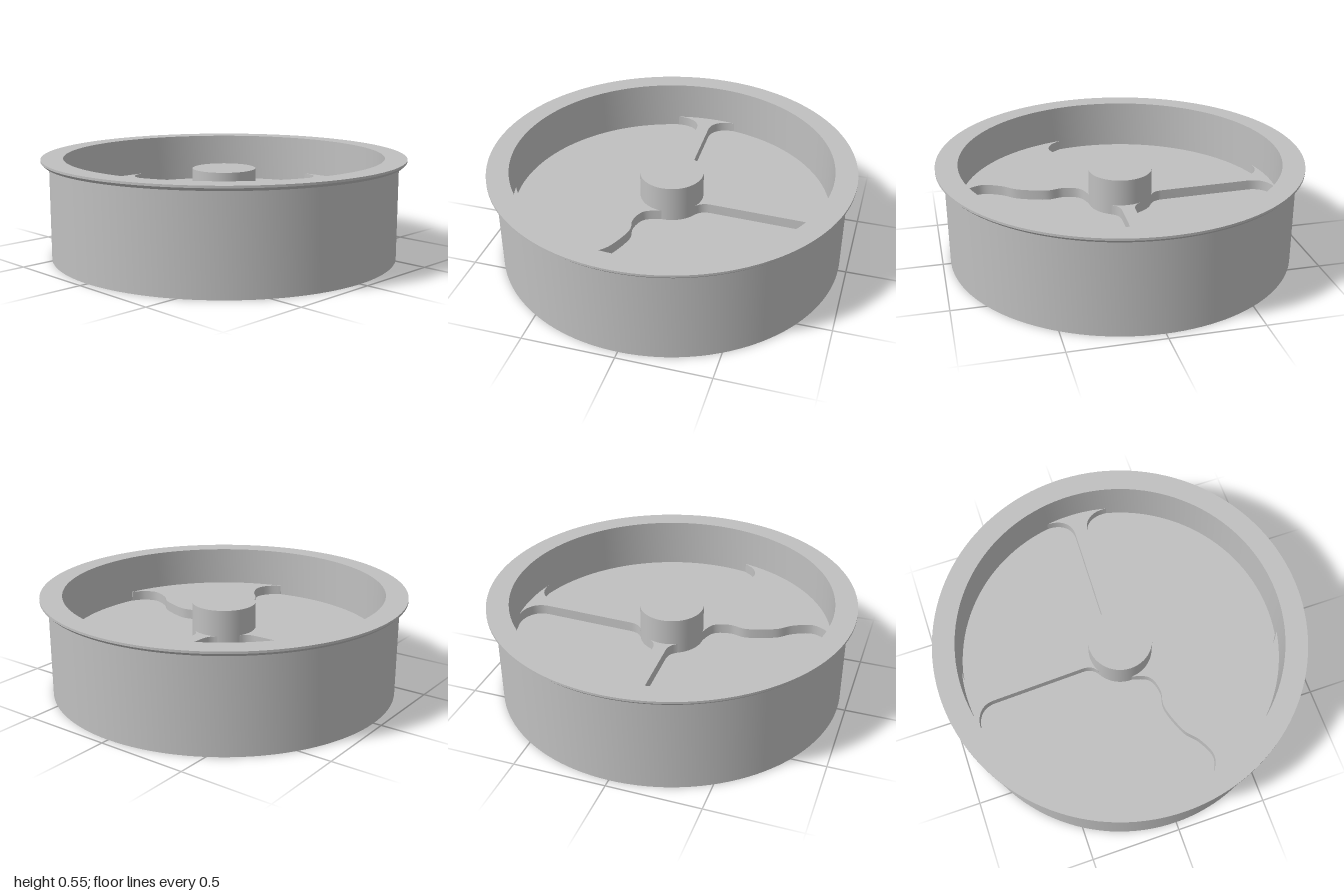
import * as THREE from 'three';
import { toCreasedNormals } from 'three/addons/utils/BufferGeometryUtils.js';

const INNER = 0.88, HUB = 0.172, FLOOR = 0.274, PLATE = 0.33, HUB_TOP = 0.476;

const v = ([x, z]) => new THREE.Vector2(x, z);

// Points on a circle between two angles (x towards z)
function arc(radius, from, to, n) {
  return Array.from({ length: n + 1 }, (_, i) => {
    const a = from + (to - from) * i / n;
    return new THREE.Vector2(radius * Math.cos(a), radius * Math.sin(a));
  });
}

// Half of the raised web, from the diagonal of the wide sector to the opposite diagonal
function halfOutline() {
  const angle = (x, z) => Math.atan2(z, x);
  const sCurve = new THREE.SplineCurve([
    [0.857, 0.19], [0.81, 0.25], [0.73, 0.278], [0.63, 0.235], [0.55, 0.17],
    [0.4, 0.118], [0.3, 0.13], [0.21, 0.097], [0.172, 0],
  ].map(v));
  // Fillets where the spoke meets hub and wall
  const bend = (a, b, c, d) => new THREE.CubicBezierCurve(v(a), v(b), v(c), v(d)).getPoints(12);
  return [
    ...arc(INNER, Math.PI / 4, angle(0.857, 0.19), 16),
    ...sCurve.getPoints(56),
    ...arc(HUB, 0, angle(0.085, -0.15), 12),
    ...bend([0.085, -0.153], [0.06, -0.17], [0.043, -0.19], [0.044, -0.235]),
    ...bend([0.06, -0.75], [0.063, -0.82], [0.12, -0.865], [0.21, -0.855]),
    ...arc(INNER, angle(0.21, -0.855), angle(-0.15, -0.867), 12),
    ...bend([-0.15, -0.867], [-0.07, -0.87], [-0.012, -0.83], [-0.013, -0.75]),
    ...bend([-0.029, -0.24], [-0.03, -0.2], [-0.045, -0.175], [-0.075, -0.158]),
    ...arc(HUB, angle(-0.075, -0.155), -Math.PI * 0.75, 6),
  ];
}

export function createModel() {
  const group = new THREE.Group();
  const grey = new THREE.MeshStandardMaterial({ color: 0xc0c0c0 });
  grey.name = 'plain grey';

  const add = (name, geometry) => {
    const mesh = new THREE.Mesh(geometry, grey);
    mesh.name = name;
    group.add(mesh);
    return mesh;
  };

  // Drum with chamfered rim and recessed floor
  const profile = [
    [0, 0], [0.956, 0], [0.956, 0.523], [0.985, 0.523], [1, 0.538],
    [1, 0.55], [INNER, 0.55], [INNER, FLOOR], [0, FLOOR],
  ].map(v);
  add('drum', toCreasedNormals(new THREE.LatheGeometry(profile, 128), 0.5));

  // Raised web: two spokes and a wide sector, mirrored across the diagonal
  const half = halfOutline();
  const mirrored = half.map(p => new THREE.Vector2(p.y, p.x)).reverse();
  const outline = [...half, ...mirrored].filter(
    (p, i, all) => i === 0 || p.distanceTo(all[i - 1]) > 1e-4);
  if (outline[0].distanceTo(outline[outline.length - 1]) < 1e-4) outline.pop();
  const web = new THREE.ExtrudeGeometry(new THREE.Shape(outline), {
    depth: PLATE - FLOOR + 0.01, bevelEnabled: false,
  });
  web.rotateX(Math.PI / 2).translate(0, PLATE, 0);
  add('spokeWeb', toCreasedNormals(web, 0.6));

  // Central hub
  const hubHeight = HUB_TOP - FLOOR + 0.01;
  add('hub', new THREE.CylinderGeometry(0.175, 0.175, hubHeight, 64))
    .position.y = HUB_TOP - hubHeight / 2;

  return group;
}
